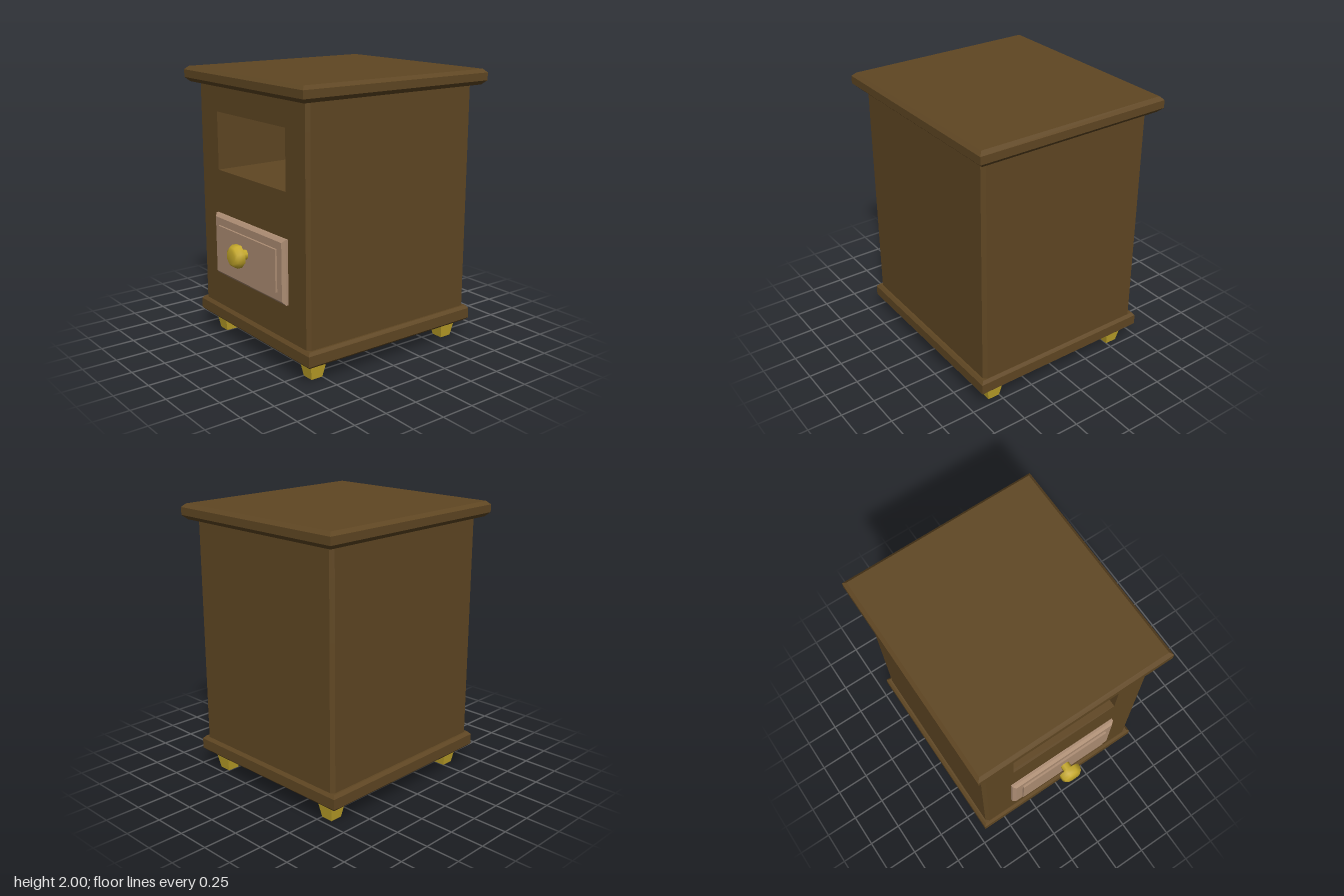
import * as THREE from 'three';

const CZ = -0.047; // depth centre of the cabinet

// Flat-shaded rectangular loft; each ring is [halfWidth, halfDepth, y]
function loft(rings) {
  const pos = [];
  const loops = rings.map(([x, z, y]) => [[-x, y, z], [x, y, z], [x, y, -z], [-x, y, -z]]);
  const quad = (a, b, c, d) => pos.push(...a, ...b, ...c, ...a, ...c, ...d);
  for (let i = 0; i < loops.length - 1; i++) {
    const lo = loops[i], hi = loops[i + 1];
    for (let k = 0; k < 4; k++) {
      const n = (k + 1) % 4;
      quad(lo[k], lo[n], hi[n], hi[k]);
    }
  }
  const b = loops[0], t = loops[loops.length - 1];
  quad(b[3], b[2], b[1], b[0]);
  quad(t[0], t[1], t[2], t[3]);
  const g = new THREE.BufferGeometry();
  g.setAttribute('position', new THREE.Float32BufferAttribute(pos, 3));
  g.computeVertexNormals();
  return g;
}

// Upright prism from a footprint of [x, z] points
function prism(points, y0, y1) {
  const shape = new THREE.Shape(points.map(([x, z]) => new THREE.Vector2(x, -z)));
  const g = new THREE.ExtrudeGeometry(shape, { depth: y1 - y0, bevelEnabled: false });
  return g.rotateX(-Math.PI / 2).translate(0, y0, 0);
}

export function createModel() {
  const group = new THREE.Group();
  const material = (name, color) => {
    const m = new THREE.MeshStandardMaterial({ color });
    m.name = name;
    return m;
  };
  const wood = material('dark wood', 0x604723);
  const paleWood = material('pale wood', 0xae8e74);
  const brass = material('brass', 0xc6a92b);

  const add = (name, geometry, mat, x = 0, y = 0, z = 0, parent = group) => {
    const mesh = new THREE.Mesh(geometry, mat);
    mesh.name = name;
    mesh.position.set(x, y, z);
    parent.add(mesh);
    return mesh;
  };

  // Bevelled top and base
  add('tabletop', loft([
    [0.70, 0.764, 1.89], [0.732, 0.794, 1.92], [0.732, 0.794, 1.975], [0.707, 0.769, 2.0],
  ]), wood, 0, 0, CZ);
  add('base', loft([
    [0.68, 0.72, 0.137], [0.695, 0.735, 0.153], [0.695, 0.735, 0.228], [0.677, 0.717, 0.25],
  ]), wood, 0, 0, CZ);

  // Cabinet with chamfered uprights; the middle layer leaves the open shelf
  const X = 0.663, F = 0.667, B = -0.762, c = 0.024;
  const outline = [
    [X - c, F], [X, F - c], [X, B + c], [X - c, B], [-X + c, B], [-X, B + c], [-X, F - c], [-X + c, F],
  ];
  const shelfX = 0.422, shelfBack = -0.66;
  const shelfOutline = [
    ...outline, [-shelfX, F], [-shelfX, shelfBack], [shelfX, shelfBack], [shelfX, F],
  ];
  const cabinet = new THREE.Group();
  cabinet.name = 'cabinet';
  group.add(cabinet);
  add('lowerBody', prism(outline, 0.245, 1.28), wood, 0, 0, 0, cabinet);
  add('shelfWalls', prism(shelfOutline, 1.28, 1.70), wood, 0, 0, 0, cabinet);
  add('upperBody', prism(outline, 1.70, 1.895), wood, 0, 0, 0, cabinet);

  // Drawer front with raised panel
  const drawer = new THREE.Group();
  drawer.name = 'drawer';
  drawer.position.set(0, 0.735, F);
  group.add(drawer);
  add('drawerFront', loft([
    [0.44, 0.228, -0.01], [0.44, 0.228, 0.018], [0.418, 0.206, 0.038],
  ]).rotateX(Math.PI / 2), paleWood, 0, 0, 0, drawer);
  add('drawerPanel', new THREE.BoxGeometry(0.728, 0.302, 0.03), paleWood, 0, 0, 0.038, drawer);

  // Eight-sided knob and stem
  const profile = [[0.085, 0.058], [0.085, 0.092], [0.073, 0.113], [0.052, 0.127], [0, 0.127]]
    .map(([r, y]) => new THREE.Vector2(r, y));
  const turn = Math.PI / 8;
  const knob = new THREE.Group();
  knob.name = 'knob';
  knob.position.set(0, 0.76, 0.714);
  group.add(knob);
  add('knobHead', new THREE.LatheGeometry(profile, 8, turn).rotateX(Math.PI / 2), brass, 0, 0, 0, knob);
  add('knobBack', new THREE.CircleGeometry(0.085, 8, turn).rotateY(Math.PI), brass, 0, 0, 0.058, knob);
  add('knobStem', new THREE.CylinderGeometry(0.036, 0.036, 0.07, 8, 1, false, turn)
    .rotateX(Math.PI / 2), brass, 0, 0, 0.03, knob);

  // Tapered feet
  const foot = loft([[0.045, 0.045, 0], [0.07, 0.07, 0.14]]);
  for (const x of [-0.545, 0.545]) {
    for (const z of [0.545, -0.656]) add('foot', foot, brass, x, 0, z);
  }
  return group;
}
